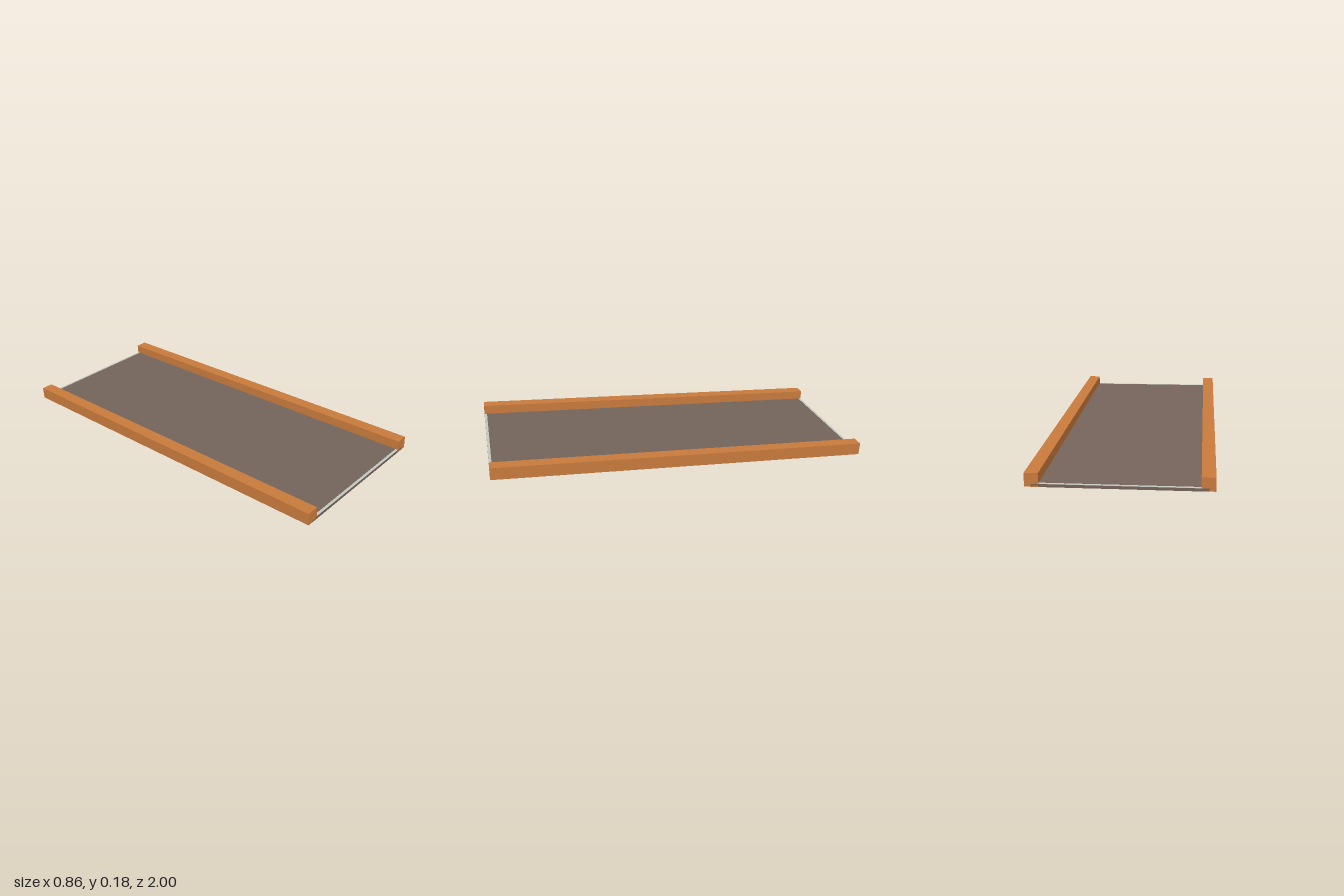
import * as THREE from 'three';

export function createModel() {
  const orange = new THREE.MeshStandardMaterial({ name: 'orangeRail', color: 0xc87a3c });
  const brown = new THREE.MeshStandardMaterial({ name: 'brownDeck', color: 0x74645a });
  const pale = new THREE.MeshStandardMaterial({ name: 'paleTrim', color: 0xc4c6c0 });

  const model = new THREE.Group();
  model.name = 'ramp';

  // Everything sits on one gently tilted frame, high at the front
  const tilted = new THREE.Group();
  tilted.name = 'tiltedRamp';
  tilted.rotation.x = -Math.atan(0.055);
  tilted.position.y = 0.0875;
  model.add(tilted);

  const length = 1.998, railSize = 0.065, bottom = -railSize / 2;

  // Box placed by the height of its underside
  function box(name, material, w, h, d, x, y, z) {
    const mesh = new THREE.Mesh(new THREE.BoxGeometry(w, h, d), material);
    mesh.name = name;
    mesh.position.set(x, y + h / 2, z);
    tilted.add(mesh);
  }

  // Deck board, its underside flush with the rails
  box('deck', brown, 0.8, 0.0145, length, 0, bottom - 0.0005, 0);
  // Walking surface, stopping just short of both ends
  box('deckSurface', brown, 0.74, 0.002, length - 0.028, 0, bottom + 0.014, 0);

  // Side rails
  for (const side of [-1, 1]) {
    box(side > 0 ? 'leftRail' : 'rightRail', orange,
      railSize, railSize, length, side * 0.3965, bottom, 0);
  }

  // Pale strips along the front and back edges
  for (const end of [-1, 1]) {
    box(end > 0 ? 'frontStrip' : 'backStrip', pale,
      0.735, 0.0015, 0.014, 0, bottom + 0.014, end * (length / 2 - 0.007));
  }

  return model;
}
